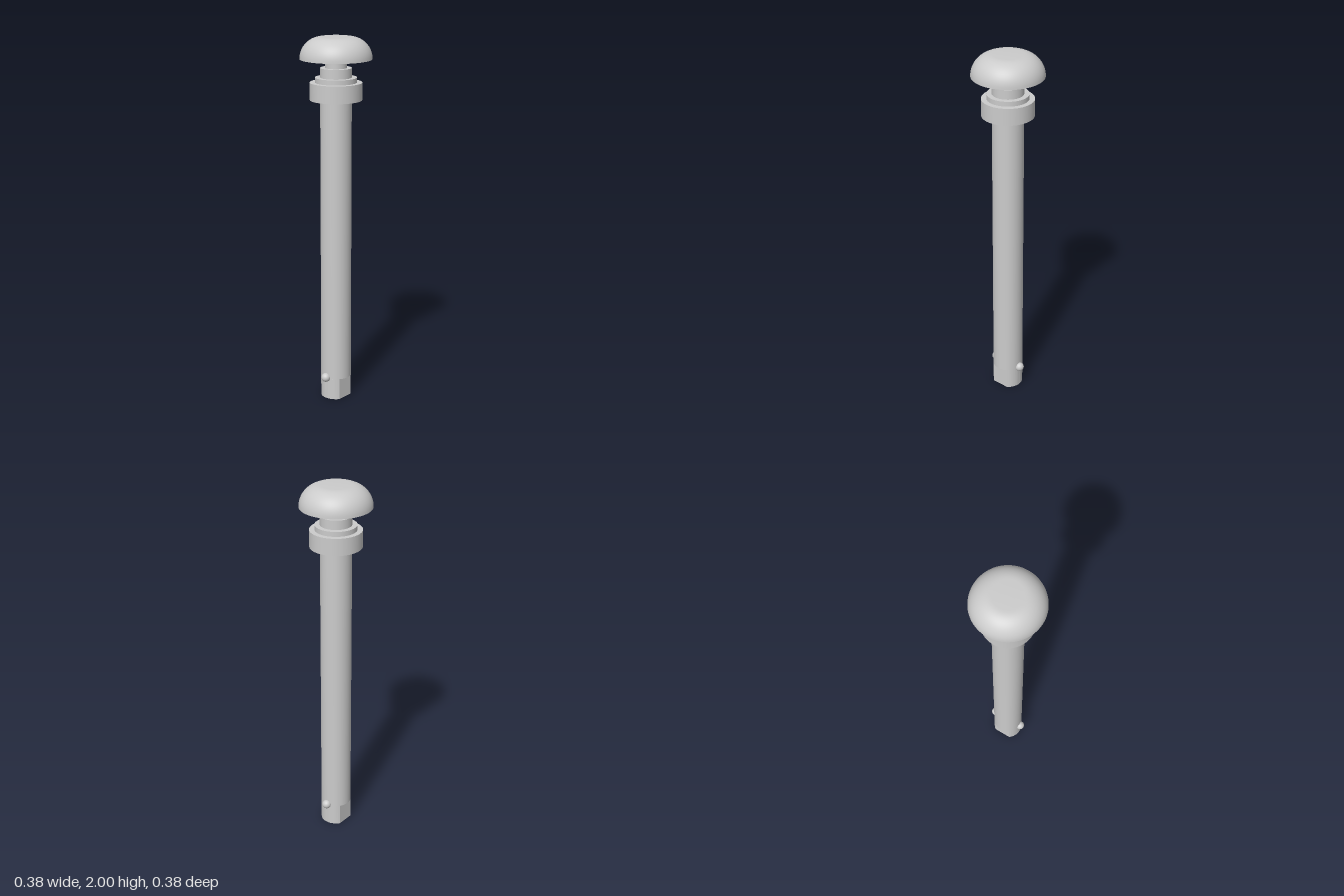
import * as THREE from 'three';
import { toCreasedNormals } from 'three/addons/utils/BufferGeometryUtils.js';

const SEG = 64;
const SHAFT_R = 0.083;
const FLAT_X = 0.067;
const TIP_H = 0.12;

export function createModel() {
  const model = new THREE.Group();
  const material = new THREE.MeshStandardMaterial({ color: 0xcccccc });

  const add = (name, geometry) => {
    const mesh = new THREE.Mesh(geometry, material);
    mesh.name = name;
    model.add(mesh);
    return mesh;
  };
  const disc = (name, radius, y0, y1) => {
    const mesh = add(name, new THREE.CylinderGeometry(radius, radius, y1 - y0, SEG));
    mesh.position.y = (y0 + y1) / 2;
  };

  // Tip: round bar with a flat milled on the left and right
  const a = Math.acos(FLAT_X / SHAFT_R);
  const section = new THREE.Shape();
  section.absarc(0, 0, SHAFT_R, a, Math.PI - a);
  section.absarc(0, 0, SHAFT_R, Math.PI + a, 2 * Math.PI - a);
  section.closePath();
  const tip = new THREE.ExtrudeGeometry(section, { depth: TIP_H, bevelEnabled: false, curveSegments: 24 });
  tip.rotateX(-Math.PI / 2);
  add('flattenedTip', toCreasedNormals(tip, 0.3));

  // Shaft, collar and stepped neck
  disc('shaft', SHAFT_R, TIP_H, 1.68);
  disc('collar', 0.138, 1.672, 1.764);
  disc('collarStep', 0.11, 1.764, 1.79);
  disc('neckStep', SHAFT_R, 1.79, 1.84);
  disc('neck', 0.057, 1.84, 1.887);

  // Push button: flat top, generously rounded rim, flat underside
  const profile = [new THREE.Vector2(0, 1.886), new THREE.Vector2(0.19, 1.886)];
  for (let i = 1; i <= 14; i++) {
    const t = (i / 14) * Math.PI / 2;
    profile.push(new THREE.Vector2(0.078 + 0.112 * Math.cos(t), 1.886 + 0.114 * Math.sin(t)));
  }
  profile.push(new THREE.Vector2(0, 2));
  add('buttonHead', toCreasedNormals(new THREE.LatheGeometry(profile, SEG), 0.6));

  // Locking balls on front and back
  for (const side of [1, -1]) {
    const ball = add(side > 0 ? 'frontBall' : 'backBall', new THREE.SphereGeometry(0.025, 24, 16));
    ball.position.set(0, 0.125, side * 0.086);
  }

  return model;
}
